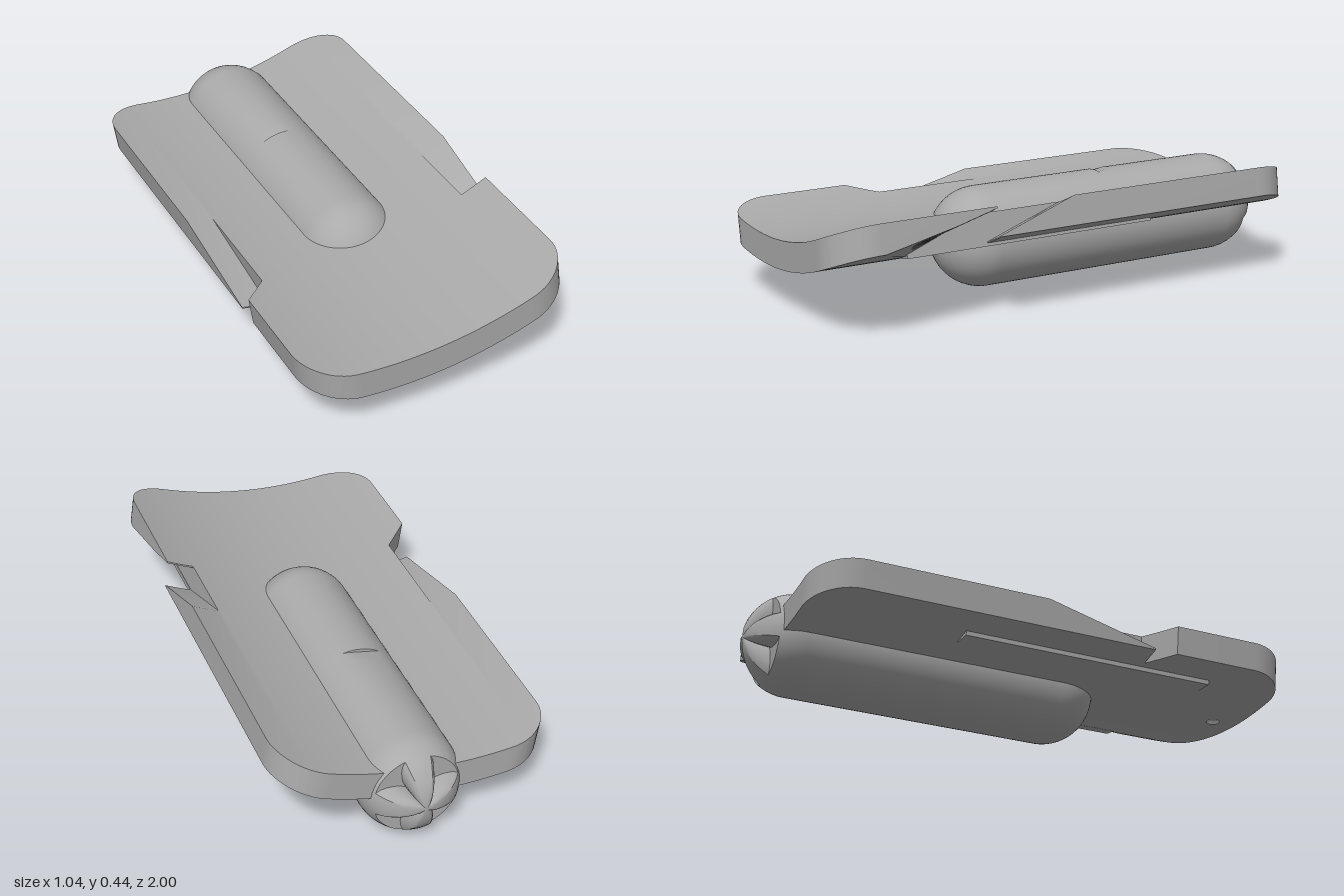
import * as THREE from 'three';
import { toCreasedNormals } from 'three/addons/utils/BufferGeometryUtils.js';

const grey = new THREE.MeshStandardMaterial({ color: 0xaaaaaa });
grey.name = 'grey';
const pale = new THREE.MeshStandardMaterial({ color: 0xe8e8e8 });
pale.name = 'pale grey';

// Skin a row of closed cross-sections, with flat ends where asked
function loft(name, rings, caps = true) {
  const n = rings[0].length;
  const pos = rings.flat().flatMap((p) => [p.x, p.y, p.z]);
  const idx = [];
  for (let k = 0; k < rings.length - 1; k++) {
    for (let i = 0; i < n; i++) {
      const j = (i + 1) % n;
      const a = k * n + i, b = k * n + j, c = a + n, d = b + n;
      idx.push(a, b, c, b, d, c);
    }
  }
  if (caps) {
    const e = (rings.length - 1) * n;
    for (let i = 1; i < n - 1; i++) idx.push(0, i + 1, i, e, e + i, e + i + 1);
  }
  const geo = new THREE.BufferGeometry();
  geo.setAttribute('position', new THREE.Float32BufferAttribute(pos, 3));
  geo.setIndex(idx);
  const mesh = new THREE.Mesh(toCreasedNormals(geo, 0.45), grey);
  mesh.name = name;
  return mesh;
}

// Curved plate: u runs across it, t goes from its top (0) to its underside (1)
const LEFT = 0.5, RIGHT = -0.52, CORNER = 0.17;
const topY = (u) => 1.796 - Math.sqrt(1.526 ** 2 - (u + 0.2) ** 2);
const onPlate = (u, t, z) => new THREE.Vector3(u + 0.016 * t, topY(u) - 0.107 * t, z);

// How far the rounded corners pull in the front and back edges
function pullIn(u) {
  const d = Math.max(0, CORNER - Math.min(LEFT - u, u - RIGHT));
  return CORNER - Math.sqrt(Math.max(0, CORNER ** 2 - d ** 2));
}
const frontZ = (u) => 1 - pullIn(u);
const backZ = (u) => -0.9 + pullIn(u);

// Section is a function of u giving [z, t] corners; ease bunches steps at one end
function plateLoft(name, u0, u1, steps, section, ease = (k) => k) {
  const rings = [];
  for (let i = 0; i <= steps; i++) {
    const u = u0 + (u1 - u0) * ease(i / steps);
    rings.push(section(u).map(([z, t]) => onPlate(u, t, z)));
  }
  return loft(name, rings);
}

function createPlate() {
  const plate = new THREE.Group();
  plate.name = 'curvedPlate';
  const inner = { left: 0.4, right: -0.42 };
  const easeEnd = (k) => Math.sin(k * Math.PI / 2);
  const easeStart = (k) => 1 - Math.cos(k * Math.PI / 2);

  plate.add(plateLoft('plateCore', inner.right, inner.left, 40, (u) => [
    [backZ(u), 0], [frontZ(u), 0], [frontZ(u), 1], [backZ(u), 1],
  ]));

  // Left edge: ramp cut from above behind, undercut lip in front
  plate.add(plateLoft('leftRearEdge', inner.left, LEFT, 12, (u) => [
    [backZ(u), 0], [0.08, 0], [0.385, 0.96], [0.385, 1], [backZ(u), 1],
  ], easeEnd));
  plate.add(plateLoft('leftFrontEdge', inner.left, LEFT, 12, (u) => {
    const start = Math.min(0.71 + (u - inner.left) * 1.3, frontZ(u) - 0.005);
    return [[0.39, 0], [frontZ(u), 0], [frontZ(u), 1], [start, 1], [0.55, 0.45], [0.39, 0.06]];
  }, easeEnd));

  // Right edge: longer ramp, then a slanted stop
  plate.add(plateLoft('rightRearEdge', RIGHT, inner.right, 12, (u) => [
    [backZ(u), 0], [-0.03, 0], [0.41, 0.95], [0.41, 1], [backZ(u), 1],
  ], easeStart));
  plate.add(plateLoft('rightFrontEdge', RIGHT, inner.right, 12, (u) => {
    const stop = 0.4 + inner.right - u;
    return [[stop, 0], [frontZ(u), 0], [frontZ(u), 1], [stop, 1]];
  }, easeStart));

  // Thin tapered rails under the plate
  plate.add(plateLoft('leftRail', 0.35, 0.402, 3, (u) => {
    const t = 1.005 + (u - 0.35) * 2;
    return [[-0.3, 0.95], [0.7, 0.95], [0.7, t], [-0.3, t]];
  }));
  plate.add(plateLoft('rightRail', -0.407, -0.32, 3, (u) => {
    const t = 1.005 + (-0.32 - u) * 1.7;
    return [[-0.3, 0.95], [0.7, 0.95], [0.7, t], [-0.3, t]];
  }));

  // Small round sockets on the underside
  for (const z of [0.9, -0.74]) {
    const u = -0.1;
    const disc = new THREE.Mesh(new THREE.CylinderGeometry(0.026, 0.026, 0.006, 20), pale);
    disc.name = 'socket';
    disc.position.copy(onPlate(u, 1, z));
    disc.rotation.z = 0.07;
    plate.add(disc);
  }
  return plate;
}

// Round-ended barrel through the plate, with four grooves cut in its tail
function createBarrel() {
  const R = 0.19, CX = 0.018, CY = 0.19, SEG = 64;
  const FRONT = 0.2, BACK = -0.81;

  const ring = (z, radius, shape = () => 1) => Array.from({ length: SEG }, (_, i) => {
    const a = (i / SEG) * Math.PI * 2;
    const r = radius * shape(a);
    return new THREE.Vector3(CX + r * Math.cos(a), CY + r * Math.sin(a), z);
  });
  // V-grooves on the diagonals
  const groove = (a) => {
    const off = Math.abs((a % (Math.PI / 2)) - Math.PI / 4);
    return 1 - 0.62 * Math.max(0, 1 - off / 0.46);
  };
  // Flat chord across the top for the small thumb notch
  const chord = (a) => Math.min(1, 0.94 / Math.max(0.01, Math.cos(a - Math.PI / 2 - 0.2)));

  const rings = [];
  const CAP = 14, CUT = 5;
  for (let i = 0; i <= CAP; i++) {
    const a = (1 - i / CAP) * Math.PI / 2;
    const z = BACK - R * Math.sin(a), r = R * Math.cos(a);
    if (i <= CAP - CUT) rings.push(ring(z, r, groove));
    if (i >= CAP - CUT) rings.push(ring(z, r));
  }
  rings.push(ring(-0.38, R), ring(-0.31, R, chord), ring(-0.309, R));
  for (let i = 0; i <= CAP; i++) {
    const a = (i / CAP) * Math.PI / 2;
    rings.push(ring(FRONT + R * Math.sin(a), R * Math.cos(a)));
  }
  return loft('barrel', rings, false);
}

export function createModel() {
  const model = new THREE.Group();
  model.name = 'curvedPlateWithBarrel';
  model.add(createPlate(), createBarrel());
  return model;
}
